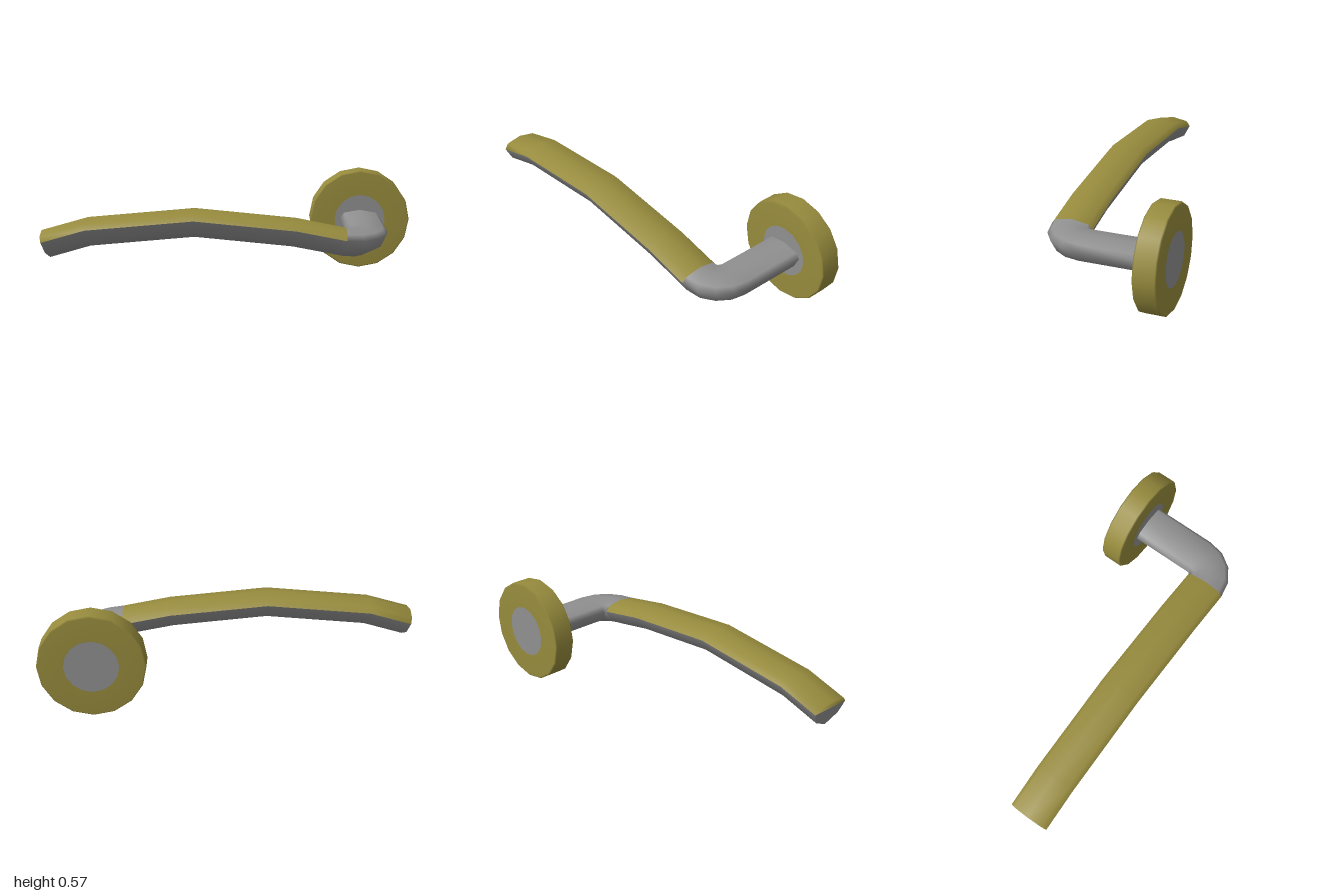
import * as THREE from 'three';

const grey = new THREE.MeshStandardMaterial({ color: 0x909090 });
const brass = new THREE.MeshStandardMaterial({ color: 0x978b3d });

// Lever cross-section: across, up (0 is the crest); first five points are the arched top
const section = [
  [0.114, -0.045], [0.09, -0.016], [0, 0], [-0.09, -0.016],
  [-0.114, -0.045], [-0.083, -0.11], [0, -0.155], [0.083, -0.11],
];
const N = section.length;

// Crest line of the lever: out from the plate (x), height, along the grip (z), heading, slope
function crestLine() {
  const path = [[0.1, 0.343, 0, 0, 0]];
  for (let i = 0; i <= 4; i++) {
    const a = (i / 4) * Math.PI / 2;
    path.push([0.475 + 0.125 * Math.sin(a), i === 4 ? 0.348 : 0.343, 0.125 - 0.125 * Math.cos(a), a, i === 4 ? 0.1 : 0]);
  }
  const h = Math.PI / 2;
  path.push([0.6, 0.4, 0.39, h, 0.14], [0.6, 0.455, 0.94, h, 0], [0.6, 0.405, 1.52, h, -0.15], [0.6, 0.338, 1.757, h, -0.27]);
  return path;
}

function createLever() {
  const path = crestLine();
  const pos = [], greyFaces = [], brassFaces = [];
  const up = new THREE.Vector3(0, 1, 0);
  const addRing = ([x, y, z, a, slope]) => {
    const T = new THREE.Vector3(Math.cos(a), slope, Math.sin(a)).normalize();
    const U = new THREE.Vector3().crossVectors(up, T).normalize();
    const V = new THREE.Vector3().crossVectors(T, U);
    for (const [u, v] of section) {
      const p = new THREE.Vector3(x, y, z).addScaledVector(U, u).addScaledVector(V, v);
      pos.push(p.x, p.y, p.z);
    }
  };
  path.forEach(addRing);

  // Skin: brass on the arched top of the grip, grey elsewhere
  for (let i = 0; i < path.length - 1; i++) {
    for (let j = 0; j < N; j++) {
      const a = i * N + j, b = i * N + (j + 1) % N;
      (i >= 5 && j < 4 ? brassFaces : greyFaces).push(a, b, b + N, a, b + N, a + N);
    }
  }
  // End of the grip: brass part blends into the top, grey part keeps a sharp edge
  const last = (path.length - 1) * N, cap = path.length * N;
  addRing(path[path.length - 1]);
  for (let j = 1; j < 4; j++) {
    brassFaces.push(last, last + j, last + j + 1);
    greyFaces.push(cap + 4, cap + 4 + j, cap + (5 + j) % N);
  }

  // Each colour gets its own normals, so the seam between them is crisp
  const part = (faces, material, name) => {
    const g = new THREE.BufferGeometry();
    g.setAttribute('position', new THREE.Float32BufferAttribute(pos, 3));
    g.setIndex(faces);
    g.computeVertexNormals();
    const m = new THREE.Mesh(g, material);
    m.name = name;
    return m;
  };
  const lever = new THREE.Group();
  lever.name = 'lever';
  lever.add(part(greyFaces, grey, 'leverBody'), part(brassFaces, brass, 'gripTop'));
  return lever;
}

export function createModel() {
  const model = new THREE.Group();
  model.name = 'doorHandle';

  // Everything is built with the plate's axis along x, then turned
  const handle = new THREE.Group();
  handle.name = 'handle';
  handle.position.set(0.125, 0, -0.785);
  handle.rotation.y = -0.71;
  model.add(handle);

  // Round wall plate with slightly softened rims
  const profile = [[0.145, -0.003], [0.278, -0.003], [0.286, 0.005], [0.286, 0.112], [0.278, 0.12], [0.145, 0.12]]
    .map(([r, y]) => new THREE.Vector2(r, y));
  const plate = new THREE.Mesh(new THREE.LatheGeometry(profile, 16), brass);
  plate.name = 'wallPlate';

  // Grey core filling the plate
  const core = new THREE.Mesh(new THREE.CylinderGeometry(0.145, 0.145, 0.123, 16), grey);
  core.name = 'plateCore';
  core.position.y = 0.0585;

  const rosette = new THREE.Group();
  rosette.name = 'rosette';
  rosette.add(plate, core);
  rosette.rotation.z = -Math.PI / 2;
  rosette.position.y = 0.286;

  handle.add(rosette, createLever());
  return model;
}
